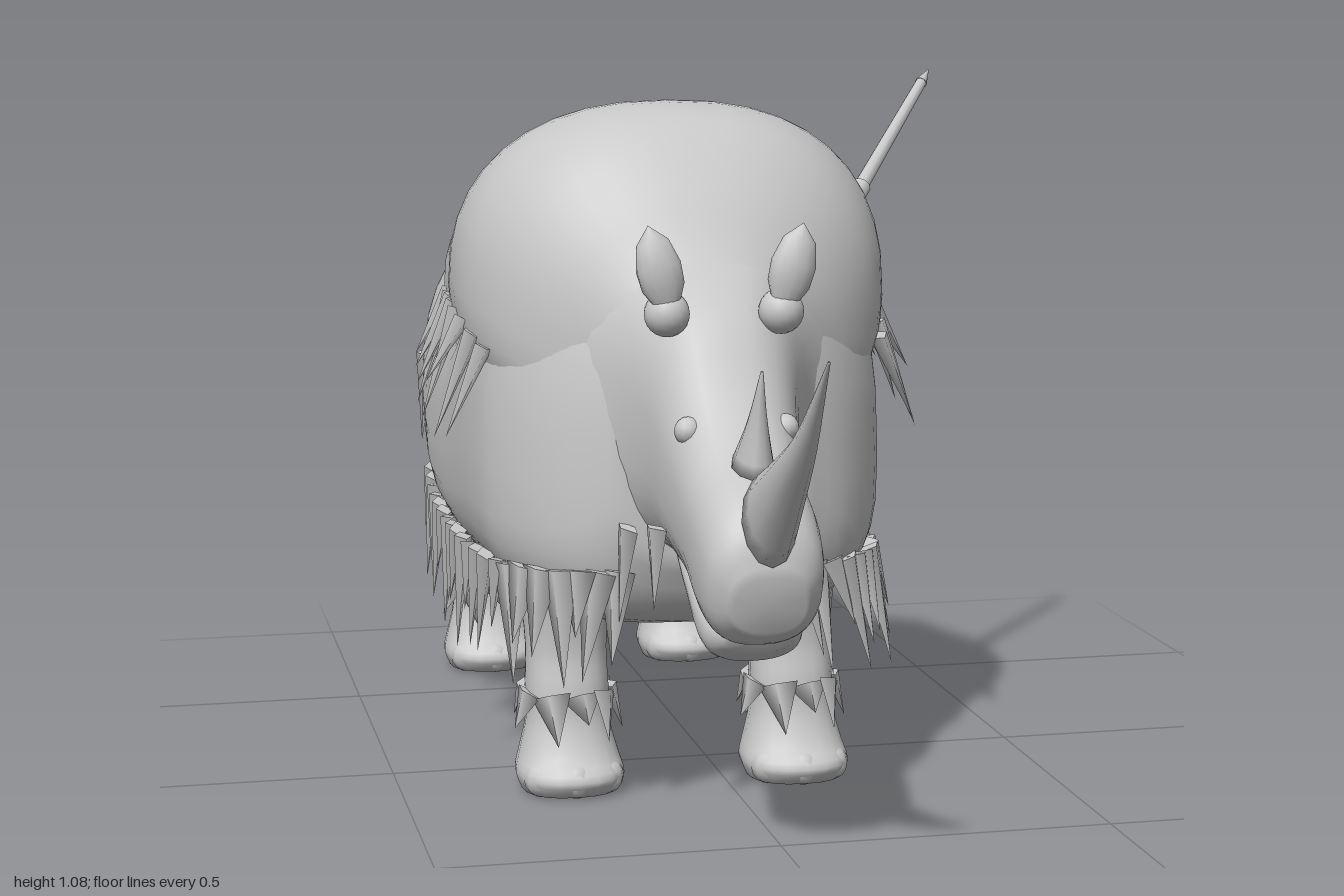
import * as THREE from 'three';
import { mergeGeometries } from 'three/addons/utils/BufferGeometryUtils.js';

const hide = new THREE.MeshStandardMaterial({ color: 0xc8c8c8 });
hide.name = 'stone grey';

const V = (x, y, z) => new THREE.Vector3(x, y, z);

// Smooth skin through rows of [zTop, yTop, zBottom, yBottom, halfWidth].
// mid = height share of the widest point; upper and lower powers < 1 square the section.
function loft(rows, { mid = 0.5, upper = 0.85, lower = upper, sides = 32, steps = 4, x = 0, closed = true } = {}) {
  const top = new THREE.CatmullRomCurve3(rows.map(r => V(r[4], r[1], r[0])));
  const bottom = new THREE.CatmullRomCurve3(rows.map(r => V(r[4], r[3], r[2])));
  const n = (rows.length - 1) * steps;
  const pos = [], index = [];
  const bend = (v, e) => Math.sign(v) * Math.abs(v) ** e;
  for (let i = 0; i <= n; i++) {
    const a = top.getPoint(i / n), b = bottom.getPoint(i / n);
    for (let j = 0; j < sides; j++) {
      const t = (j / sides) * Math.PI * 2, e = j < sides / 2 ? upper : lower;
      const s = bend(Math.sin(t), e);
      const h = mid + (s > 0 ? (1 - mid) : mid) * s;
      pos.push(x + a.x * bend(Math.cos(t), e), b.y + (a.y - b.y) * h, b.z + (a.z - b.z) * h);
    }
  }
  for (let i = 0; i < n; i++) for (let j = 0; j < sides; j++) {
    const k = (j + 1) % sides, p = i * sides, q = p + sides;
    index.push(p + j, q + j, p + k, p + k, q + j, q + k);
  }
  // End caps
  for (const end of closed ? [0, n] : []) {
    const a = top.getPoint(end / n), b = bottom.getPoint(end / n), c = pos.length / 3;
    pos.push(x, b.y + (a.y - b.y) * mid, b.z + (a.z - b.z) * mid);
    for (let j = 0; j < sides; j++) {
      const p = end * sides + j, q = end * sides + (j + 1) % sides;
      if (end) index.push(c, q, p); else index.push(c, p, q);
    }
  }
  const g = new THREE.BufferGeometry();
  g.setAttribute('position', new THREE.Float32BufferAttribute(pos, 3));
  g.setIndex(index);
  g.computeVertexNormals();
  return g;
}

// Four-sided lock of hair from base to tip, flattened along the outward direction
function lock(base, tip, width, out) {
  const y = tip.clone().sub(base), length = y.length();
  y.normalize();
  const x = y.clone().cross(out).normalize();
  const z = x.clone().cross(y);
  const g = new THREE.ConeGeometry(width / 2, length, 4, 1).translate(0, length / 2, 0).scale(1, 1, 0.4);
  return g.applyMatrix4(new THREE.Matrix4().makeBasis(x, y, z).setPosition(base));
}

// Row of locks hanging along a path, splayed away from the body
function fringe(points, count, length, width, splay, out) {
  const path = new THREE.CatmullRomCurve3(points.map(p => V(...p)));
  const list = [];
  for (let i = 0; i < count; i++) {
    const p = path.getPoint(i / (count - 1));
    const o = out(p).setY(0).normalize();
    const l = length * (1 + 0.3 * Math.sin(i * 2.4));
    const side = V(-o.z, 0, o.x).multiplyScalar(0.02 * Math.sin(i * 1.7));
    const tip = p.clone().addScaledVector(o, splay).add(side).add(V(0, -l, 0));
    list.push(lock(p, tip, width, o));
  }
  return mergeGeometries(list);
}

export function createModel() {
  const model = new THREE.Group();
  model.name = 'woollyRhinoceros';
  const beast = new THREE.Group();
  beast.name = 'beast';
  beast.position.x = -0.067;
  model.add(beast);
  const add = (name, geometry, parent = beast) => {
    const mesh = new THREE.Mesh(geometry, hide);
    mesh.name = name;
    parent.add(mesh);
    return mesh;
  };

  // Body rises under the hump, which is an open-backed mantle of hair
  add('body', loft([
    [0.35, 0.78, 0.36, 0.40, 0.13], [0.28, 0.86, 0.30, 0.30, 0.225],
    [0.16, 0.98, 0.17, 0.265, 0.30], [0.06, 1.015, 0.06, 0.262, 0.315],
    [-0.06, 0.99, -0.06, 0.26, 0.318], [-0.17, 0.91, -0.17, 0.262, 0.317],
    [-0.27, 0.85, -0.27, 0.265, 0.315], [-0.36, 0.829, -0.36, 0.267, 0.312],
    [-0.5, 0.822, -0.5, 0.27, 0.306],
    [-0.64, 0.838, -0.62, 0.29, 0.297], [-0.76, 0.83, -0.74, 0.36, 0.283],
    [-0.845, 0.805, -0.835, 0.42, 0.245], [-0.885, 0.795, -0.87, 0.44, 0.19],
    [-0.925, 0.78, -0.90, 0.46, 0.145], [-0.955, 0.71, -0.935, 0.52, 0.08],
  ], { mid: 0.34, upper: 0.84, lower: 0.66, sides: 40 }));

  add('shoulderHump', loft([
    [0.37, 0.79, 0.33, 0.60, 0.12], [0.32, 0.85, 0.30, 0.54, 0.165],
    [0.26, 0.94, 0.24, 0.52, 0.24], [0.18, 1.02, 0.17, 0.53, 0.298],
    [0.08, 1.045, 0.08, 0.55, 0.328], [-0.04, 1.037, -0.05, 0.57, 0.328],
    [-0.15, 0.985, -0.15, 0.58, 0.317], [-0.26, 0.937, -0.26, 0.60, 0.308],
  ], { mid: 0.42, upper: 0.84, sides: 40, closed: false }));

  add('head', loft([
    [0.715, 0.44, 0.69, 0.36, 0.05], [0.70, 0.50, 0.65, 0.335, 0.08],
    [0.66, 0.545, 0.60, 0.34, 0.088], [0.58, 0.585, 0.53, 0.375, 0.09],
    [0.50, 0.66, 0.45, 0.39, 0.098], [0.43, 0.76, 0.38, 0.40, 0.115],
    [0.35, 0.82, 0.33, 0.40, 0.15], [0.25, 0.88, 0.28, 0.40, 0.22],
  ], { upper: 0.8 }));
  add('lowerJaw', loft([
    [0.655, 0.355, 0.635, 0.32, 0.045], [0.62, 0.38, 0.59, 0.30, 0.07],
    [0.52, 0.42, 0.50, 0.36, 0.075], [0.42, 0.45, 0.42, 0.40, 0.07],
  ]));
  add('frontHorn', loft([
    [0.998, 0.772, 0.998, 0.768, 0.002], [0.88, 0.67, 0.895, 0.635, 0.016],
    [0.78, 0.62, 0.81, 0.55, 0.027], [0.67, 0.575, 0.715, 0.455, 0.038],
  ], { upper: 1, sides: 12 }));
  add('rearHorn', loft([
    [0.648, 0.712, 0.652, 0.71, 0.002], [0.605, 0.64, 0.645, 0.64, 0.014],
    [0.555, 0.585, 0.645, 0.56, 0.03],
  ], { upper: 1, sides: 10 }));

  const earProfile = [[0.016, 0], [0.031, 0.03], [0.033, 0.06], [0.024, 0.095], [0, 0.12]]
    .map(p => new THREE.Vector2(...p));

  // Foot and shin shared by all legs, then the upper parts
  const footRows = [
    [0.21, 0.005, 0.06, 0.005, 0.074], [0.225, 0.03, 0.045, 0.03, 0.083],
    [0.20, 0.06, 0.05, 0.06, 0.076], [0.18, 0.11, 0.055, 0.11, 0.064],
    [0.175, 0.16, 0.05, 0.16, 0.064],
  ];
  const foreRows = [[0.165, 0.22, 0.05, 0.22, 0.062], [0.175, 0.31, 0.025, 0.31, 0.07], [0.20, 0.45, 0.0, 0.45, 0.09]];
  const hindRows = [[0.135, 0.22, 0.04, 0.22, 0.058], [0.175, 0.32, 0.015, 0.32, 0.07],
    [0.20, 0.42, -0.025, 0.42, 0.088], [0.22, 0.55, -0.06, 0.55, 0.095]];

  for (const s of [1, -1]) {
    const side = s > 0 ? 'left' : 'right';

    // Ears, brow lumps, eyes and cheek hair
    const ear = add(side + 'Ear', new THREE.LatheGeometry(earProfile, 14));
    ear.position.set(s * 0.083, 0.775, 0.435);
    ear.scale.z = 0.65;
    ear.rotation.z = -s * 0.25;
    const brow = add(side + 'Brow', new THREE.SphereGeometry(0.033, 16, 12));
    brow.position.set(s * 0.083, 0.765, 0.422);
    const eye = add(side + 'Eye', new THREE.SphereGeometry(0.02, 12, 8));
    eye.position.set(s * 0.07, 0.61, 0.502);
    add(side + 'CheekHair', fringe([[s * 0.10, 0.46, 0.43], [s * 0.13, 0.45, 0.37]],
      2, 0.12, 0.06, 0.005, () => V(s, 0, 0.3)));

    // Legs with hair cuffs and toes
    for (const [name, dz, upperRows] of [['FrontLeg', 0, foreRows], ['RearLeg', -0.82, hindRows]]) {
      const rows = [...footRows, ...upperRows].map(r => [r[0] + dz, r[1], r[2] + dz, r[3], r[4]]);
      add(side + name, loft(rows, { x: s * 0.177, sides: 20, steps: 3 }));
      const ring = [];
      for (let i = 0; i <= 12; i++) {
        const a = i / 12 * Math.PI * 2;
        ring.push([s * 0.177 + Math.cos(a) * 0.066, 0.155, 0.113 + dz + Math.sin(a) * 0.066]);
      }
      add(side + name + 'Cuff', fringe(ring, 10, 0.06, 0.064, 0.02,
        p => V(p.x - s * 0.177, 0, p.z - 0.113 - dz)));
      for (const t of [-1, 0, 1]) {
        const toe = add(side + name + 'Toe', new THREE.SphereGeometry(0.027, 10, 8));
        toe.position.set(s * 0.177 + t * 0.05, 0.028, 0.196 + dz - Math.abs(t) * 0.02);
      }
    }

    // Hair hanging from the hump, flank, chest, hip and rump
    add(side + 'ManeFringe', fringe([[s * 0.305, 0.69, 0.15], [s * 0.324, 0.725, 0.04],
      [s * 0.316, 0.735, -0.1], [s * 0.304, 0.735, -0.22]], 8, 0.135, 0.07, 0.058, () => V(s, 0, 0)));
    const skirt = [[s * 0.14, 0.38, 0.335], [s * 0.225, 0.375, 0.285], [s * 0.285, 0.37, 0.18],
      [s * 0.308, 0.365, 0], [s * 0.308, 0.36, -0.2], [s * 0.302, 0.36, -0.42], [s * 0.285, 0.375, -0.63]];
    add(side + 'SkirtFringe', fringe(skirt, 21, 0.14, 0.072, s > 0 ? 0.035 : 0.012,
      p => V(s, 0, p.z > 0.2 ? 0.8 : 0)));
    add(side + 'HipHair', fringe([[s * 0.275, 0.56, -0.77], [s * 0.25, 0.57, -0.83], [s * 0.175, 0.57, -0.89]],
      3, 0.16, 0.09, 0.01, p => V(p.x, 0, p.z + 0.7)));
    add(side + 'RumpFringe', fringe([[s * 0.265, 0.45, -0.70], [s * 0.24, 0.48, -0.80],
      [s * 0.16, 0.49, -0.88], [s * 0.04, 0.52, -0.925]], 7, 0.11, 0.075, 0.008, p => V(p.x, 0, p.z + 0.7)));
  }

  // Tail stump with its tuft, and thin belly hair
  const stump = add('tailStump', new THREE.SphereGeometry(0.04, 14, 10));
  stump.position.set(0, 0.75, -0.908);
  add('tailTuft', fringe([[-0.04, 0.59, -0.94], [0, 0.60, -0.95], [0.04, 0.59, -0.94]],
    3, 0.15, 0.06, 0.03, () => V(0, 0, -1)));
  add('bellyHair', fringe([[-0.1, 0.28, -0.05], [0.05, 0.28, -0.2], [-0.05, 0.28, -0.4], [0.06, 0.29, -0.55]],
    6, 0.05, 0.06, 0.02, () => V(0, 0, -1)));

  // Spear lodged in the left shoulder
  const spear = new THREE.Group();
  spear.name = 'spear';
  const start = V(0.215, 0.845, -0.005), end = V(0.437, 1.076, -0.262);
  const aim = end.clone().sub(start), len = aim.length();
  spear.position.copy(start);
  spear.quaternion.setFromUnitVectors(V(0, 1, 0), aim.normalize());
  const rod = (name, rTop, rBottom, from, to) =>
    add(name, new THREE.CylinderGeometry(rTop, rBottom, to - from, 10).translate(0, (from + to) / 2, 0), spear);
  rod('spearShaft', 0.009, 0.013, 0, len - 0.03);
  rod('spearBinding', 0.016, 0.016, 0.07, 0.10);
  rod('spearEnd', 0.001, 0.010, len - 0.035, len);
  model.add(spear);
  add('woundTuft', lock(V(0.225, 0.875, -0.05), V(0.245, 0.85, 0.01), 0.04, V(1, 0, 0)), model);

  return model;
}
